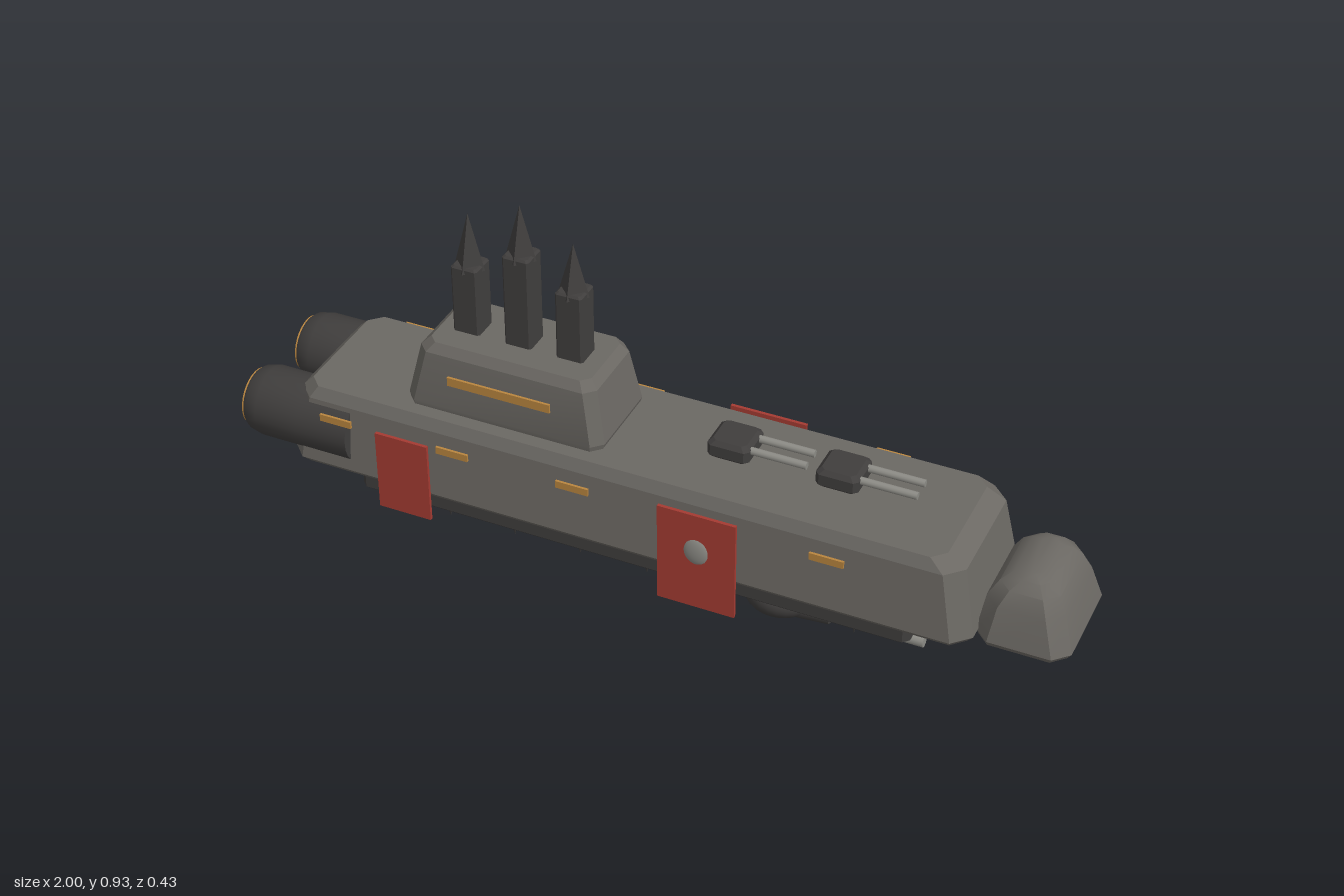
import * as THREE from 'three';
import { toCreasedNormals } from 'three/addons/utils/BufferGeometryUtils.js';

const paint = (name, color) => {
  const m = new THREE.MeshStandardMaterial({ color });
  m.name = name;
  return m;
};

// Stack of chamfered rectangles; each ring is [y, xMin, xMax, halfDepth, corner]
function loft(rings, crease = 0.35) {
  const pos = [], index = [];
  for (const [y, a, b, h, c] of rings) {
    const outline = [[a + c, h], [b - c, h], [b, h - c], [b, c - h], [b - c, -h], [a + c, -h], [a, c - h], [a, h - c]];
    for (const [x, z] of outline) pos.push(x, y, z);
  }
  for (let r = 0; r < rings.length - 1; r++) {
    for (let i = 0; i < 8; i++) {
      const p = r * 8 + i, q = r * 8 + (i + 1) % 8;
      index.push(p, q, q + 8, p, q + 8, p + 8);
    }
  }
  const t = (rings.length - 1) * 8;
  for (let i = 1; i < 7; i++) index.push(0, i + 1, i, t, t + i, t + i + 1);
  const g = new THREE.BufferGeometry();
  g.setAttribute('position', new THREE.Float32BufferAttribute(pos, 3));
  g.setIndex(index);
  return toCreasedNormals(g, crease);
}

// Straight block with small chamfers on every edge
const block = (x0, x1, y0, y1, h, b) => loft([
  [y0, x0 + b, x1 - b, h - b, b], [y0 + b, x0, x1, h, b],
  [y1 - b, x0, x1, h, b], [y1, x0 + b, x1 - b, h - b, b],
]);

export function createModel() {
  const model = new THREE.Group();
  const hullGrey = paint('hull grey', 0x6b6863);
  const darkIron = paint('dark iron', 0x403e3d);
  const red = paint('banner red', 0xa43b32);
  const gold = paint('window gold', 0xb9853f);
  const steel = paint('light steel', 0x8d8c86);

  const add = (name, geo, mat, x = 0, y = 0, z = 0, parent = model) => {
    const m = new THREE.Mesh(geo, mat);
    m.name = name;
    m.position.set(x, y, z);
    parent.add(m);
    return m;
  };
  const rod = (r0, r1, x0, x1, sides = 12) =>
    new THREE.CylinderGeometry(r1, r0, x1 - x0, sides).rotateZ(-Math.PI / 2).translate((x0 + x1) / 2, 0, 0);

  // Main body
  add('hull', loft([
    [0.195, -0.865, 0.775, 0.165, 0.03], [0.22, -0.885, 0.792, 0.188, 0.04],
    [0.385, -0.862, 0.76, 0.17, 0.04], [0.412, -0.835, 0.715, 0.155, 0.03],
  ]), hullGrey);
  add('prow', loft([
    [0.2, 0.79, 0.99, 0.135, 0.03], [0.215, 0.785, 1, 0.144, 0.035],
    [0.3, 0.797, 0.975, 0.125, 0.035], [0.34, 0.82, 0.955, 0.108, 0.03],
    [0.362, 0.845, 0.935, 0.088, 0.025], [0.371, 0.87, 0.91, 0.068, 0.015],
  ], 0.6), hullGrey);
  add('keel', block(-0.73, 0.64, 0.115, 0.2, 0.126, 0.014), darkIron);
  add('tower', loft([
    [0.405, -0.59, -0.11, 0.12, 0.02], [0.425, -0.596, -0.103, 0.124, 0.025],
    [0.555, -0.567, -0.127, 0.108, 0.025], [0.577, -0.545, -0.145, 0.093, 0.02],
  ]), hullGrey);

  // Spires on the tower: [x, shaft top, tip]
  for (const [x, top, tip] of [[-0.478, 0.75, 0.875], [-0.348, 0.81, 0.93], [-0.22, 0.75, 0.865]]) {
    const spire = new THREE.Group();
    spire.name = 'spire';
    model.add(spire);
    add('spireShaft', block(x - 0.033, x + 0.033, 0.57, top, 0.033, 0.005), darkIron, 0, 0, 0, spire);
    const base = top - 0.015;
    const point = new THREE.ConeGeometry(0.038, tip - base, 4).toNonIndexed();
    point.computeVertexNormals();
    add('spirePoint', point, darkIron, x, (base + tip) / 2, 0, spire);
  }

  // Twin engines with glowing rear discs
  const nozzle = new THREE.LatheGeometry([
    [0, -0.14], [0.085, -0.14], [0.085, -0.01], [0.085, 0.1], [0.078, 0.13], [0.07, 0.14], [0, 0.14],
  ].map(([r, y]) => new THREE.Vector2(r, y)), 28);
  const nozzleGeo = toCreasedNormals(nozzle.rotateZ(Math.PI / 2), 0.6);
  for (const side of [-1, 1]) {
    add('engine', nozzleGeo, darkIron, -0.855, 0.305, side * 0.12);
    add('engineGlow', rod(0.068, 0.068, -0.003, 0.003, 28), gold, -0.997, 0.305, side * 0.12);
  }

  // Banners, emblems and windows, mirrored on both sides
  for (const side of [-1, 1]) {
    const plate = (name, mat, x, y, w, h, z, t) => add(name, new THREE.BoxGeometry(w, h, t), mat, x, y, side * z);
    plate('largeBanner', red, 0.167, 0.26, 0.187, 0.256, 0.203, 0.008);
    plate('smallBanner', red, -0.565, 0.262, 0.133, 0.208, 0.203, 0.008);
    add('bannerBoss', new THREE.SphereGeometry(1, 20, 14).scale(0.033, 0.038, 0.011), steel, 0.167, 0.288, side * 0.202);
    for (const x of [-0.735, -0.435, -0.135, 0.47])
      plate('hullWindow', gold, x, 0.366, 0.08, 0.018, 0.203, 0.006);
    plate('towerWindow', gold, -0.348, 0.51, 0.255, 0.022, 0.133, 0.006);
  }

  // Deck turrets with twin barrels
  for (const x of [0.12, 0.377]) {
    const turret = new THREE.Group();
    turret.name = 'deckTurret';
    turret.position.x = x;
    model.add(turret);
    add('turretBody', block(0, 0.1, 0.426, 0.473, 0.05, 0.01), darkIron, 0, 0, 0, turret);
    for (const z of [-0.024, 0.024])
      add('turretBarrel', rod(0.009, 0.009, 0.08, 0.23), steel, 0, 0.457, z, turret);
  }

  // Spikes under the keel
  for (let i = 0; i < 7; i++)
    add('keelSpike', new THREE.ConeGeometry(0.028, 0.115, 8).rotateX(Math.PI), darkIron, -0.565 + i * 0.1725, 0.0575, 0);

  // Ball turret under the bow
  add('ballTurret', new THREE.SphereGeometry(1, 28, 18).scale(0.092, 0.058, 0.092), darkIron, 0.295, 0.08, 0);
  for (const z of [-0.03, 0.03]) {
    add('ballTurretMount', rod(0.03, 0.024, 0.33, 0.425, 8), darkIron, 0, 0.064, z);
    add('ballTurretBarrel', rod(0.015, 0.015, 0.38, 0.648), steel, 0, 0.064, z);
  }
  return model;
}
